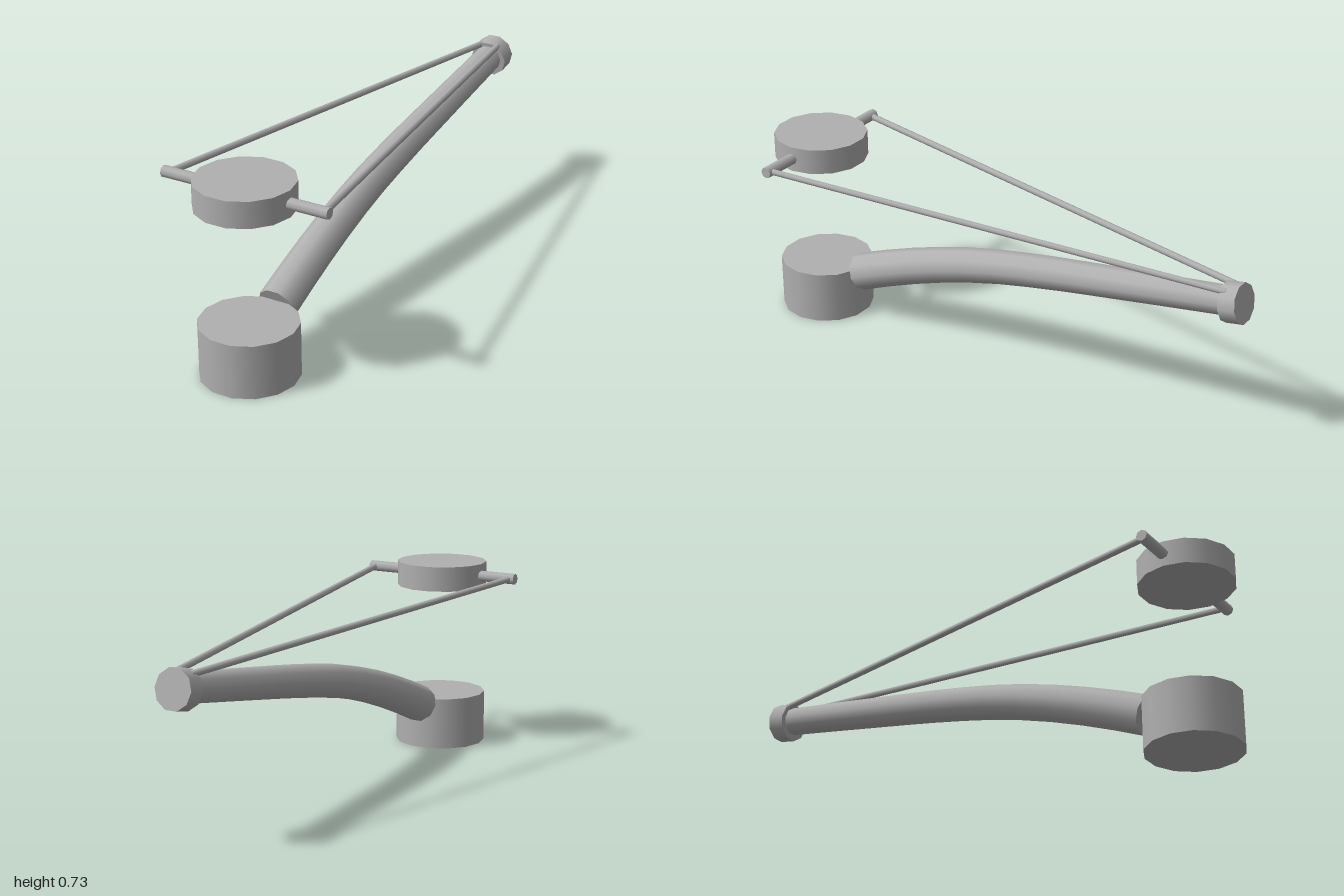
import * as THREE from 'three';

const V = (x, y, z) => new THREE.Vector3(x, y, z);

export function createModel() {
  const model = new THREE.Group();
  const grey = new THREE.MeshStandardMaterial({ color: 0xb0b0b0 });
  grey.name = 'plain grey';

  const add = (name, geometry) => {
    const mesh = new THREE.Mesh(geometry, grey);
    mesh.name = name;
    model.add(mesh);
    return mesh;
  };

  // Cylinder running between two points
  const rod = (name, a, b, radius, sides) => {
    const dir = b.clone().sub(a);
    const geometry = new THREE.CylinderGeometry(radius, radius, dir.length(), sides);
    geometry.rotateY(Math.PI / 2); // put a corner on each x side
    const mesh = add(name, geometry);
    mesh.position.copy(a).lerp(b, 0.5);
    mesh.quaternion.setFromUnitVectors(V(0, 1, 0), dir.normalize());
    return mesh;
  };

  // Base drum and the smaller drum floating above it
  rod('base', V(0, 0, 0.829), V(0, 0.2, 0.829), 0.176, 14);
  rod('upperDisc', V(0, 0.631, 0.829), V(0, 0.727, 0.829), 0.176, 14);

  // Cross bar through the upper disc
  rod('crossBar', V(-0.323, 0.68, 0.829), V(0.323, 0.68, 0.829), 0.021, 8);

  // Thin rods from the cross bar back to the end cap
  for (const [side, name] of [[1, 'leftRod'], [-1, 'rightRod']]) {
    rod(name, V(side * 0.302, 0.68, 0.825), V(side * 0.033, 0.602, -0.93), 0.012, 8);
  }

  // Tilted cap at the far end of the arm
  rod('endCap', V(0, 0.547, -0.92), V(0, 0.559, -0.984), 0.073, 10);

  // Curved, tapering arm: a cylinder bent along a curve
  const curve = new THREE.CatmullRomCurve3([
    V(0, 0.178, 0.655), V(0, 0.222, 0.55), V(0, 0.311, 0.31), V(0, 0.382, 0.065),
    V(0, 0.433, -0.185), V(0, 0.493, -0.55), V(0, 0.552, -0.925),
  ]);
  const arm = new THREE.CylinderGeometry(0.053, 0.072, 1, 10, 12);
  arm.rotateY(Math.PI / 2);
  const pos = arm.attributes.position, nor = arm.attributes.normal;
  for (let i = 0; i < pos.count; i++) {
    const t = THREE.MathUtils.clamp(pos.getY(i) + 0.5, 0, 1);
    const tangent = curve.getTangentAt(t);
    const up = V(0, -tangent.z, tangent.y);
    const p = curve.getPointAt(t).addScaledVector(up, pos.getZ(i));
    pos.setXYZ(i, pos.getX(i), p.y, p.z);
    const n = up.clone().multiplyScalar(nor.getZ(i)).addScaledVector(tangent, nor.getY(i));
    nor.setXYZ(i, nor.getX(i), n.y, n.z);
  }
  // keep the outward winding: x, tangent, up is right-handed
  add('curvedArm', arm);

  return model;
}
